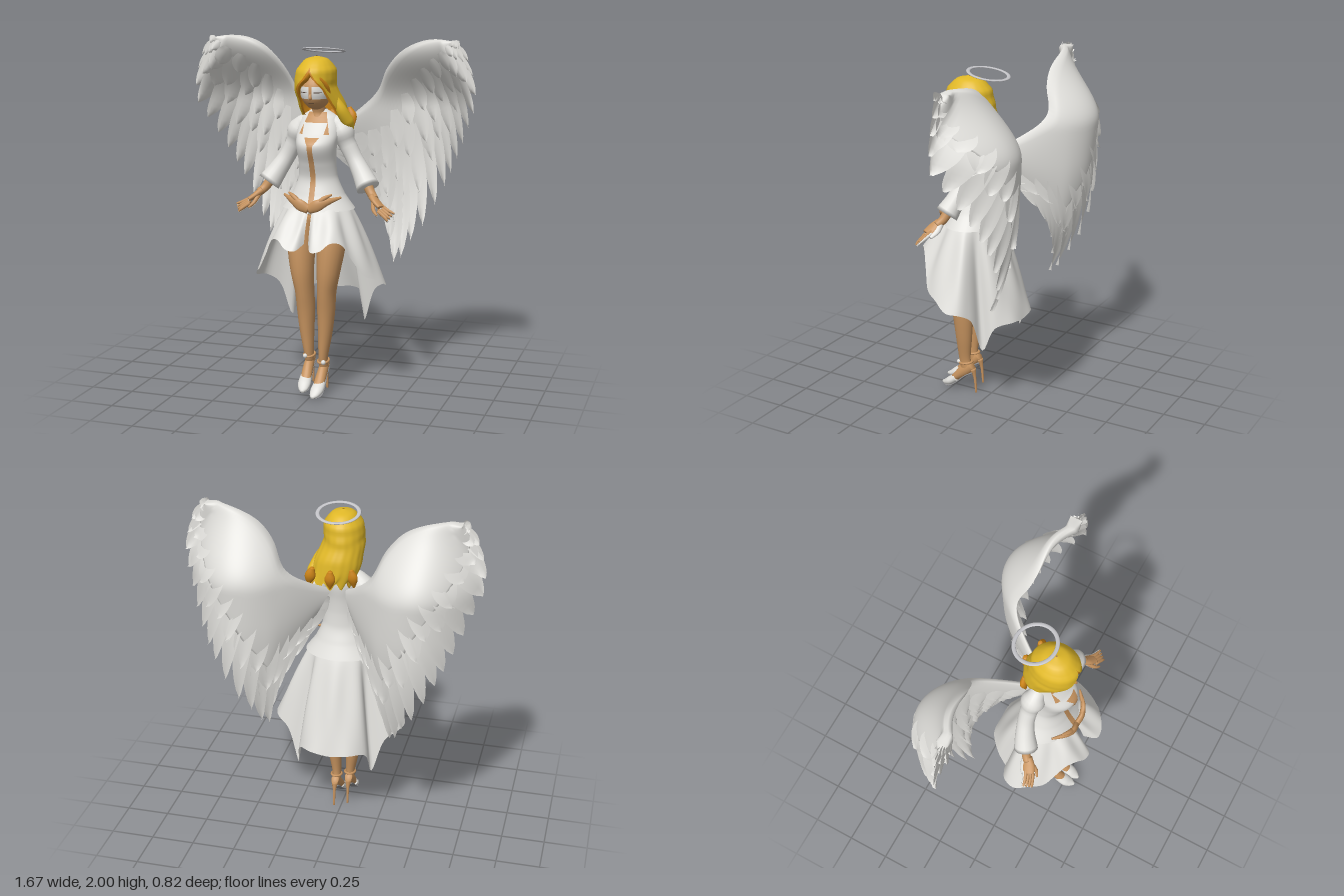
import * as THREE from 'three';
import { mergeGeometries } from 'three/addons/utils/BufferGeometryUtils.js';

const V = (x, y, z = 0) => new THREE.Vector3(x, y, z);
const X = V(1, 0, 0), Z = V(0, 0, 1);
const mix = (a, b, t) => a + (b - a) * t;

function paint(name, color) {
  const m = new THREE.MeshStandardMaterial({ color, side: THREE.DoubleSide });
  m.name = name;
  return m;
}

// Smooth grid surface from fn(u, v); closed joins the last column to the first
function surface(fn, nu, nv, closed = false) {
  const pos = [], idx = [], cols = closed ? nv : nv + 1;
  for (let i = 0; i <= nu; i++)
    for (let j = 0; j < cols; j++) pos.push(...fn(i / nu, j / nv));
  for (let i = 0; i < nu; i++)
    for (let j = 0; j < nv; j++) {
      const k = (j + 1) % cols, a = i * cols + j, b = i * cols + k;
      idx.push(a, a + cols, b, b, a + cols, b + cols);
    }
  const g = new THREE.BufferGeometry();
  g.setAttribute('position', new THREE.Float32BufferAttribute(pos, 3));
  g.setIndex(idx);
  g.computeVertexNormals();
  return g;
}

// Capped tube through points [x, y, z, radius along ref, other radius]
function tube(pts, ref = X, nu = 24, nv = 20) {
  const c = new THREE.CatmullRomCurve3(pts.map(p => V(p[0], p[1], p[2])));
  const r = new THREE.CatmullRomCurve3(pts.map(p => V(p[3], p[4] ?? p[3])));
  return surface((u, v) => {
    const t = THREE.MathUtils.clamp((u * nu - 1) / (nu - 2), 0, 1);
    const p = c.getPoint(t), d = c.getTangent(t), q = r.getPoint(t);
    const s = ref.clone().addScaledVector(d, -ref.dot(d)).normalize();
    const w = V(0, 0, 0).crossVectors(d, s);
    const k = u === 0 || u === 1 ? 0 : 1, a = v * Math.PI * 2;
    return p.addScaledVector(s, k * q.x * Math.cos(a)).addScaledVector(w, k * q.y * Math.sin(a)).toArray();
  }, nu, nv, true);
}

// Wing: leading edge, feather tips and the bowed depth they lie on
const lead = new THREE.CatmullRomCurve3([V(.04, 1.48), V(.14, 1.58), V(.24, 1.69), V(.31, 1.83), V(.4, 1.93),
  V(.51, 1.985), V(.62, 2), V(.7, 1.99)]);
const tips = new THREE.CatmullRomCurve3([V(.14, 1.28), V(.2, 1.14), V(.27, 1), V(.32, .84), V(.365, .69), V(.42, .8),
  V(.505, .92), V(.6, 1.11), V(.66, 1.23), V(.72, 1.36), V(.78, 1.5), V(.83, 1.63), V(.82, 1.78), V(.78, 1.9), V(.7, 1.99)]);
function wingDepth(x, y) {
  let z = -.39 + (x < .5 ? 2 : 2.7) * (x - .5) ** 2;
  z += .22 * THREE.MathUtils.smoothstep(y, 1.6, 2);
  if (y < 1.4) z += .15 * ((1.4 - y) / .7) ** 2;
  return x > .35 ? Math.min(z, -.12) : z;
}
function wingPoint(t, s) {
  return lead.getPoint(t).lerp(tips.getPoint(t), s);
}
function feather(side, t, s0, s1, half, off) {
  const a = wingPoint(t, s0), b = wingPoint(t, s1), d = b.clone().sub(a).normalize();
  return surface((u, v) => {
    const w = half * Math.sin(Math.PI * (.2 + .8 * u)) ** .65 * (v - .5) * 2;
    const bow = .03 * Math.sin(Math.PI * u) * a.distanceTo(b);
    const x = mix(a.x, b.x, u) - d.y * (w + bow), y = mix(a.y, b.y, u) + d.x * (w + bow);
    const ridge = .01 * (1 - Math.abs(v - .5) * 2) + .02 * (v - .5);
    return [side * x, y, wingDepth(x, y) + off * (.6 + .4 * u) + ridge];
  }, 12, 4);
}
function featherRow(side, n, s0, s1, half, off) {
  const list = [];
  for (let i = 0; i < n; i++) {
    const t = (i + .4) / n, ragged = s1 < 1 ? 1 - .05 * ((i * 7) % 3) : 1;
    list.push(feather(side, t, s0, s1 * ragged, half * (t > .85 ? .6 : 1), off));
  }
  return mergeGeometries(list);
}

// Torso sections: y, z, half width, half depth, smoothed into rows
const sections = [[1.62, .09, .04, .035], [1.575, .085, .105, .06], [1.5, .11, .12, .095], [1.43, .145, .113, .122],
  [1.33, .13, .105, .1], [1.25, .115, .11, .09], [1.15, .11, .15, .12], [1.07, .11, .208, .16]];
const torsoLine = new THREE.CatmullRomCurve3(sections.map(s => V(0, s[0], s[1])));
const torsoSize = new THREE.CatmullRomCurve3(sections.map(s => V(s[2], s[3])));
const torso = [];
for (let i = 0; i <= 56; i++) torso.push([torsoLine.getPoint(i / 56), torsoSize.getPoint(i / 56)]);
function torsoFront(x, y) {
  let i = 0;
  while (i < torso.length - 2 && torso[i + 1][0].y > y) i++;
  const [[p, q], [p2, q2]] = [torso[i], torso[i + 1]], t = (p.y - y) / (p.y - p2.y);
  return mix(p.z, p2.z, t) + mix(q.y, q2.y, t) * Math.sqrt(Math.max(0, 1 - (x / mix(q.x, q2.x, t)) ** 2));
}
const chestPatch = (y0, y1, w0, w1, off) => surface((u, v) => {
  const y = mix(y0, y1, u), x = mix(w0, w1, u) * (v * 2 - 1);
  return [x, y, torsoFront(x, y) + off];
}, 30, 12);
const facePatch = (x0, x1, y0, y1, off) => surface((u, v) => {
  const x = mix(x0, x1, v), y = mix(y0, y1, u);
  return [x, y, .15 + .105 * Math.sqrt(Math.max(0, 1 - (x / .085) ** 2 - ((y - 1.73) / .108) ** 2)) + off];
}, 6, 10);

// Hair shell open at the face; grow scales it, narrow shrinks the opening
function hairShell(grow, narrow) {
  const rows = [[0, 1.915, .14, .005, .005, 0], [0, 1.9, .14, .06, .07, 0], [0, 1.86, .14, .095, .115, 0], [-.005, 1.8, .14, .113, .137, .3],
    [-.008, 1.74, .13, .118, .138, .78], [.01, 1.66, .09, .13, .128, .8], [.025, 1.58, .06, .13, .105, 1], [.05, 1.52, .045, .12, .09, 1.3]];
  const c = new THREE.CatmullRomCurve3(rows.map(r => V(r[0], r[1], r[2])));
  const q = new THREE.CatmullRomCurve3(rows.map(r => V(r[3], r[4], r[5])));
  return surface((u, v) => {
    const p = c.getPoint(u), r = q.getPoint(u), open = Math.max(0, r.z - narrow);
    const a = mix(open, Math.PI * 2 - open, v), k = grow * (1 + .01 * Math.sin(a * 17) * u);
    return [p.x + Math.sin(a) * r.x * k, p.y + .02 * Math.sin(a * 11) * u ** 8, p.z + Math.cos(a) * r.y * k];
  }, 32, 80);
}

export function createModel() {
  const model = new THREE.Group();
  const white = paint('white cloth and feathers', 0xe0dfdb), skin = paint('skin', 0xc6935f);
  const blonde = paint('blonde hair', 0xe0b828), amber = paint('amber inner hair', 0xcc8418);
  const silver = paint('silver halo', 0xc4c4c8), grey = paint('grey sole', 0x8c8c8e), dark = paint('dark lashes', 0x57453a);
  const add = (name, geo, mat) => {
    const m = new THREE.Mesh(geo, mat);
    m.name = name;
    model.add(m);
    return m;
  };

  // Head and hair
  const head = add('head', new THREE.SphereGeometry(1, 32, 24), skin);
  head.scale.set(.085, .108, .105);
  head.position.set(0, 1.73, .15);
  add('nose', tube([[0, 1.715, .25, .005], [0, 1.695, .258, .009], [0, 1.688, .25, .007]], X, 8, 8), skin);
  add('mouth', facePatch(-.016, .016, 1.662, 1.665, .003), dark);
  add('hair', hairShell(1, 0), blonde);
  add('innerHair', hairShell(.95, .1), amber);
  add('hairLock', tube([[.1, 1.7, .14, .015], [.135, 1.62, .12, .032], [.16, 1.56, .09, .034], [.185, 1.51, .06, .006]]), blonde);
  for (const [x, z] of [[-.085, .01], [.03, -.04], [.15, -.01]])
    add('amberHairEnd', tube([[x * .9, 1.62, z - .015, .012], [x, 1.57, z - .012, .03, .02], [x * 1.08, 1.51, z, .006]]), amber);
  add('neck', tube([[0, 1.67, .125, .036], [0, 1.61, .105, .037], [0, 1.54, .1, .06]]), skin);
  const halo = add('halo', new THREE.TorusGeometry(.113, .011, 10, 64), silver);
  halo.scale.z = .4;
  halo.position.set(0, 1.938, .02);
  halo.rotation.x = Math.PI / 2 + -.17;

  // Dress: bodice, front lacing, split skirt with a long back
  add('bodice', surface((u, v) => {
    const [p, q] = torso[Math.round(u * 56)], a = v * Math.PI * 2;
    return [q.x * Math.sin(a), p.y, p.z + q.y * Math.cos(a)];
  }, 56, 40, true), white);
  add('neckline', chestPatch(1.49, 1.605, .086, .05, .004), skin);
  add('neckPanel', chestPatch(1.485, 1.55, .06, .068, .01), white);
  add('lacingTop', chestPatch(1.43, 1.475, .014, .042, .005), skin);
  add('lacing', chestPatch(1.08, 1.45, .016, .015, .005), skin);
  const hemHalf = [[.012, .9, .33], [.05, .87, .4], [.1, .88, .4], [.15, .92, .37], [.2, .91, .33], [.25, .82, .29], [.31, .72, .24], [.35, .69, .17],
    [.385, .64, .08], [.36, .63, .01], [.29, .58, -.03], [.22, .38, -.065], [.195, .52, -.13], [.11, .54, -.2], [0, .53, -.21]];
  const hem = new THREE.CatmullRomCurve3([...hemHalf, ...hemHalf.slice(0, -1).reverse().map(p => [-p[0], p[1], p[2]])].map(p => V(...p)));
  add('skirt', surface((u, v) => {
    const h = hem.getPoint(u), a = Math.atan2(h.x, h.z - .11), w = v ** .88;
    const fold = .01 * Math.cos(a * 10) * Math.sin(Math.PI * v);
    return [mix(Math.sin(a) * .175, h.x, w) + Math.sin(a) * fold, mix(1.1, h.y, v), mix(.11 + Math.cos(a) * .13, h.z, w) + Math.cos(a) * fold];
  }, 140, 16), white);

  // Face halves, limbs and wings, built for each side
  for (const s of [1, -1]) {
    const n = s > 0 ? 'left' : 'right', lift = s > 0 ? 0 : .03;
    const flip = pts => pts.map(p => [s * p[0], ...p.slice(1)]);
    add(n + 'Eye', facePatch(s * .009, s * .074, 1.688, 1.755, .003), white);
    add(n + 'Lash', facePatch(s * .02, s * .06, 1.722, 1.726, .005), dark);
    add(n + 'Bang', tube(flip([[0, 1.835, .25, .014], [.035, 1.803, .245, .024, .016], [.07, 1.762, .218, .022, .014],
      [.092, 1.7, .18, .006]])), amber);
    add(n + 'BeltOrnament', tube(flip([[0, 1.085, .285, .025, .016], [.05, 1.11, .29, .032, .016], [.1, 1.13, .27, .02, .014],
      [.165, 1.15, .215, .006, .006]]), V(0, 1, 0)), skin);
    add(n + 'BeltProng', tube(flip([[.04, 1.11, .29, .014], [.085, 1.15, .28, .013], [.125, 1.17, .255, .005]]), Z, 10, 10), skin);

    // Arm
    add(n + 'Sleeve', tube(flip([[.065, 1.56, .085, .035], [.11, 1.525, .08, .05], [.148, 1.44, .07, .05], [.195, 1.35, .07, .047],
      [.245, 1.27, .09, .054], [.292, 1.195, .12, .066]]), Z), white);
    add(n + 'Forearm', tube(flip([[.27, 1.24, .105, .032], [.31, 1.17, .13, .025], [.34, 1.14, .155, .022]]), Z), skin);
    const fingers = (dy, dz) => {
      const list = [];
      for (let i = 0; i < 4; i++)
        list.push(tube(flip([[.375, 1.115 + dy - i * .01, .165 + dz + i * .015, .011], [.42, 1.09 + dy - i * .012, .185 + dz + i * .014, .01],
          [.462 - i * .009, 1.075 + dy - i * .012, .195 + dz + i * .013, .005]]), Z, 8, 8));
      list.push(tube(flip([[.335, 1.13 + dy, .17 + dz, .013], [.35, 1.09 + dy, .215 + dz, .011], [.375, 1.065 + dy, .235 + dz, .006]]), Z, 8, 8));
      return mergeGeometries(list);
    };
    add(n + 'Palm', tube(flip([[.32, 1.155, .15, .022, .02], [.355, 1.125, .17, .035, .018], [.39, 1.1, .19, .032, .013]]), Z), skin);
    add(n + 'Fingers', fingers(0, 0), skin);
    add(n + 'HandBack', tube(flip([[.325, 1.147, .138, .02, .018], [.36, 1.114, .158, .036, .017], [.395, 1.088, .178, .03, .011]]), Z), white);
    add(n + 'FingerBacks', fingers(-.006, -.007), white);

    // Leg and high-heeled shoe
    add(n + 'Leg', tube(flip([[.085, 1.02, .13, .078, .085], [.088, .88, .15, .08, .09], [.078, .72, .172, .066, .078], [.066, .6, .165, .053, .073],
      [.06, .48, .158, .05, .062], [.054, .35, .157, .04, .05], [.042, .2 + lift * .5, .158, .026, .036], [.042, .14 + lift, .145, .025, .035]]), X, 40), skin);
    const f = .042;
    add(n + 'Foot', tube(flip([[f, .17 + lift, .11, .022, .03], [f, .13 + lift, .16, .028, .035], [f - .003, .075 + lift, .22, .03, .024],
      [f - .008, .03 + lift, .27, .026, .015]])), skin);
    add(n + 'ShoeToe', tube(flip([[f, .073 + lift, .212, .033, .024], [f - .004, .042 + lift, .255, .037, .026], [f - .01, .021 + lift, .295, .026, .016],
      [f - .013, .013 + lift, .32, .008, .008]])), white);
    add(n + 'Sole', tube(flip([[f, .13 + lift, .1, .022, .006], [f, .1 + lift, .15, .024, .006], [f, .045 + lift, .21, .03, .006],
      [f - .004, .012 + lift, .26, .032, .006], [f - .01, .007 + lift, .305, .018, .004]])), grey);
    add(n + 'Heel', tube(flip([[f, .15 + lift, .105, .02], [f, .1 + lift, .092, .009], [f, lift, .083, .006]]), X, 12, 10), skin);
    const strap = add(n + 'AnkleStrap', new THREE.TorusGeometry(.03, .007, 8, 24), skin);
    strap.position.set(s * f, .185 + lift, .153);
    strap.rotation.x = Math.PI / 2 + .15;
    strap.scale.y = 1.3;
    const buckle = add(n + 'StrapBow', new THREE.SphereGeometry(.014, 12, 8), white);
    buckle.position.set(s * (f + .012), .185 + lift, .192);

    // Wing: thick arm, then overlapping feather rows
    add(n + 'WingArm', surface((u, v) => {
      const k = v < .5 ? v * 2 : 2 - v * 2, p = wingPoint(u, k * .6);
      const thick = .08 * Math.sqrt(k) * (1 - k) + .003;
      return [s * p.x, p.y, wingDepth(p.x, p.y) + (v < .5 ? 1 : -1) * thick];
    }, 48, 40, true), white);
    add(n + 'FlightFeathers', featherRow(s, 20, .3, 1, .05, 0), white);
    add(n + 'LongCoverts', featherRow(s, 15, .28, .8, .054, .018), white);
    add(n + 'MiddleCoverts', featherRow(s, 13, .24, .62, .05, .034), white);
    add(n + 'ShortCoverts', featherRow(s, 12, .2, .45, .045, .046), white);
    add(n + 'BackCoverts', featherRow(s, 15, .4, .76, .054, -.018), white);
  }
  return model;
}
